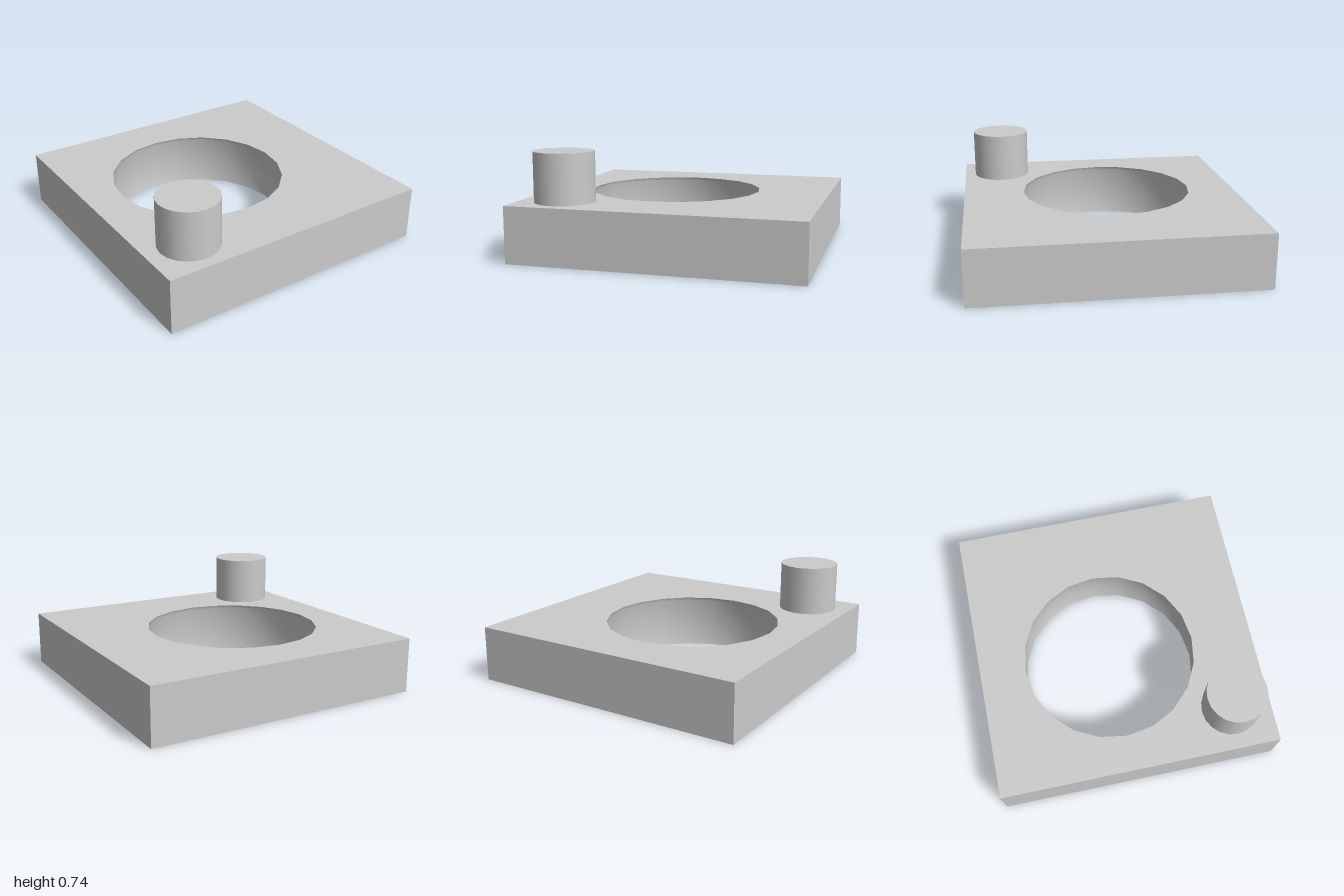
import * as THREE from 'three';

const HEIGHT = 0.39, SIDES = 20;
const HOLE = { x: -0.13, z: -0.054 };

export function createModel() {
  const model = new THREE.Group();
  const material = new THREE.MeshStandardMaterial({ color: 0xcccccc });
  const slab = new THREE.Group();
  slab.name = 'slab';
  model.add(slab);

  const add = (parent, name, geometry, x = 0, y = 0, z = 0) => {
    const mesh = new THREE.Mesh(geometry, material);
    mesh.name = name;
    mesh.position.set(x, y, z);
    parent.add(mesh);
    return mesh;
  };

  // Hollow wall: a slice of a ball, widest below mid-height, facing inward
  const profile = [[0.62, HEIGHT], [0.632, 0.365], [0.665, 0.16], [0.64, 0]]
    .map(([r, y]) => new THREE.Vector2(r, y));
  add(slab, 'holeWall', new THREE.LatheGeometry(profile, SIDES), HOLE.x, 0, HOLE.z);

  // Square faces pierced by the round opening; up is 1 for top, -1 for bottom
  const face = (radius, up) => {
    const shape = new THREE.Shape([[-1, -1], [1, -1], [1, 1], [-1, 1]]
      .map(([x, y]) => new THREE.Vector2(x, y)));
    const rim = [];
    for (let i = 0; i < SIDES; i++) {
      const a = -i / SIDES * Math.PI * 2;
      rim.push(new THREE.Vector2(HOLE.x + radius * Math.cos(a), -up * HOLE.z + radius * Math.sin(a)));
    }
    shape.holes.push(new THREE.Path(rim));
    return new THREE.ShapeGeometry(shape).rotateX(-up * Math.PI / 2);
  };
  add(slab, 'topFace', face(profile[0].x, 1), 0, HEIGHT, 0);
  add(slab, 'bottomFace', face(profile[3].x, -1));

  // Four outer walls
  for (let i = 0; i < 4; i++) {
    const wall = new THREE.PlaneGeometry(2, HEIGHT).translate(0, HEIGHT / 2, 1);
    add(slab, 'sideWall', wall.rotateY(i * Math.PI / 2));
  }

  // Round peg standing in the front corner
  add(model, 'peg', new THREE.CylinderGeometry(0.209, 0.209, 0.345, SIDES), -0.69, HEIGHT + 0.1725, 0.714);

  return model;
}
